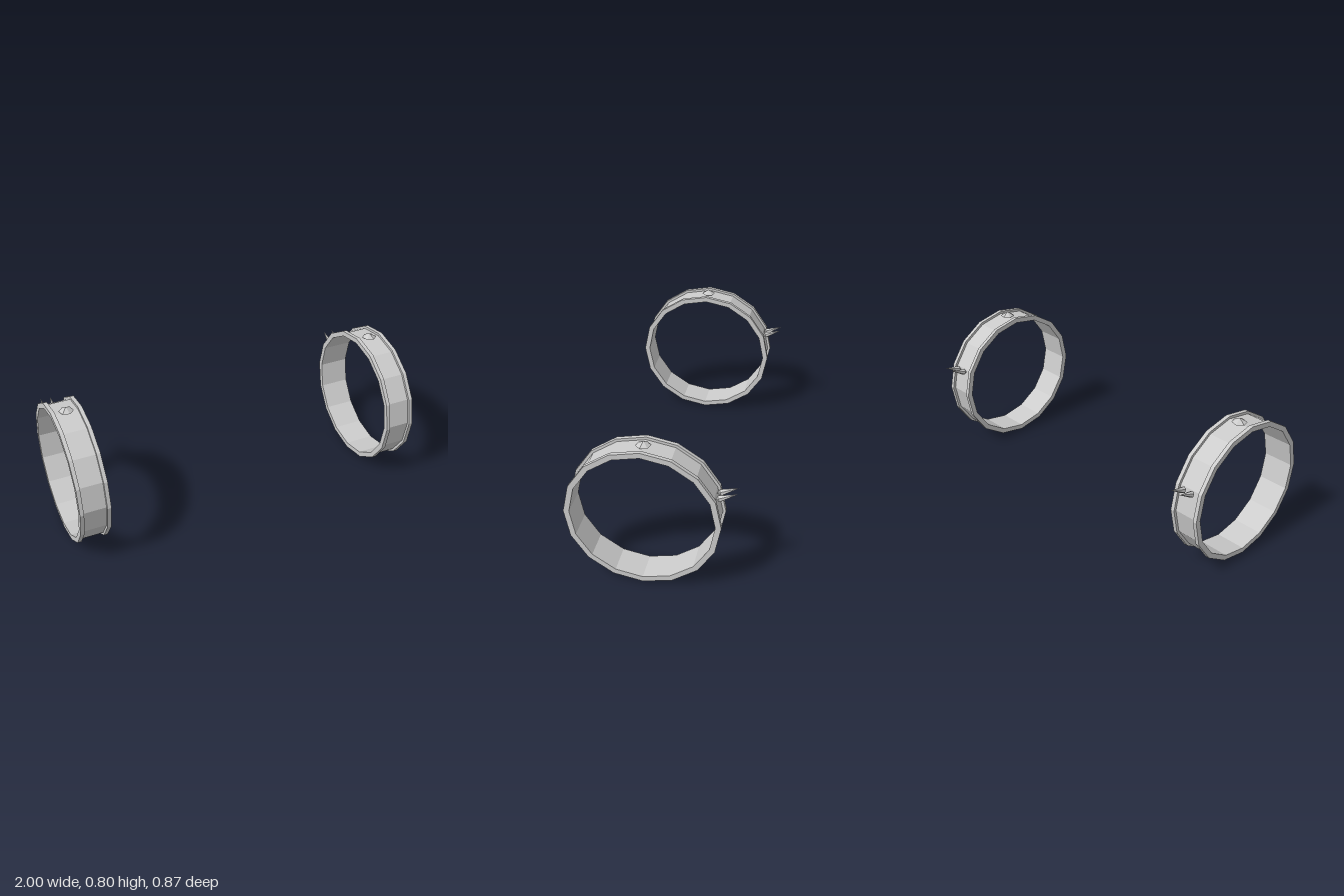
import * as THREE from 'three';

const CENTER_Y = 0.393, CENTER_Z = 0.035, HALF_WIDTH = 0.085, RIM = 0.022;

const material = new THREE.MeshStandardMaterial({ color: 0xcccccc, flatShading: true });

// Faceted point with a short tapered root, along +y with its widest ring at y = 0
function pointGeometry(radius, height, root, sides) {
  return new THREE.LatheGeometry([
    new THREE.Vector2(0, -root),
    new THREE.Vector2(radius, 0),
    new THREE.Vector2(0, height),
  ], sides);
}

function createBracelet(name) {
  const bracelet = new THREE.Group();
  bracelet.name = name;
  const add = (geometry, partName) => {
    const mesh = new THREE.Mesh(geometry, material);
    mesh.name = partName;
    bracelet.add(mesh);
    return mesh;
  };

  // Sixteen-sided band with a raised rim along both edges
  const inner = 0.37, outer = 0.385, rim = 0.4, w = HALF_WIDTH;
  const profile = [
    [inner, -w], [outer, -w], [rim, -w], [rim, -w + RIM], [outer, -w + RIM],
    [outer, w - RIM], [rim, w - RIM], [rim, w], [outer, w], [inner, w], [inner, -w],
  ].map(([r, y]) => new THREE.Vector2(r, y));
  const band = add(new THREE.LatheGeometry(profile, 16).rotateZ(Math.PI / 2), 'band');
  band.scale.y = 0.974;
  band.position.set(0, CENTER_Y, CENTER_Z);

  // Low stud on top
  const stud = add(pointGeometry(0.04, 0.024, 0.012, 6), 'topStud');
  stud.position.set(0, 0.776, CENTER_Z);
  stud.rotation.y = 0.25;

  // Pair of spikes on the back
  const direction = new THREE.Vector3(0, 0.037, -0.09).normalize();
  for (const side of [-1, 1]) {
    const spike = add(pointGeometry(0.018, 0.096, 0.022, 6), 'backSpike');
    spike.position.set(side * 0.027, 0.531, -0.344);
    spike.quaternion.setFromUnitVectors(new THREE.Vector3(0, 1, 0), direction);
  }
  return bracelet;
}

export function createModel() {
  const model = new THREE.Group();
  model.name = 'spikedBracelets';
  for (const [name, side] of [['leftBracelet', 1], ['rightBracelet', -1]]) {
    const bracelet = createBracelet(name);
    bracelet.position.x = side * (1 - HALF_WIDTH);
    model.add(bracelet);
  }
  return model;
}
